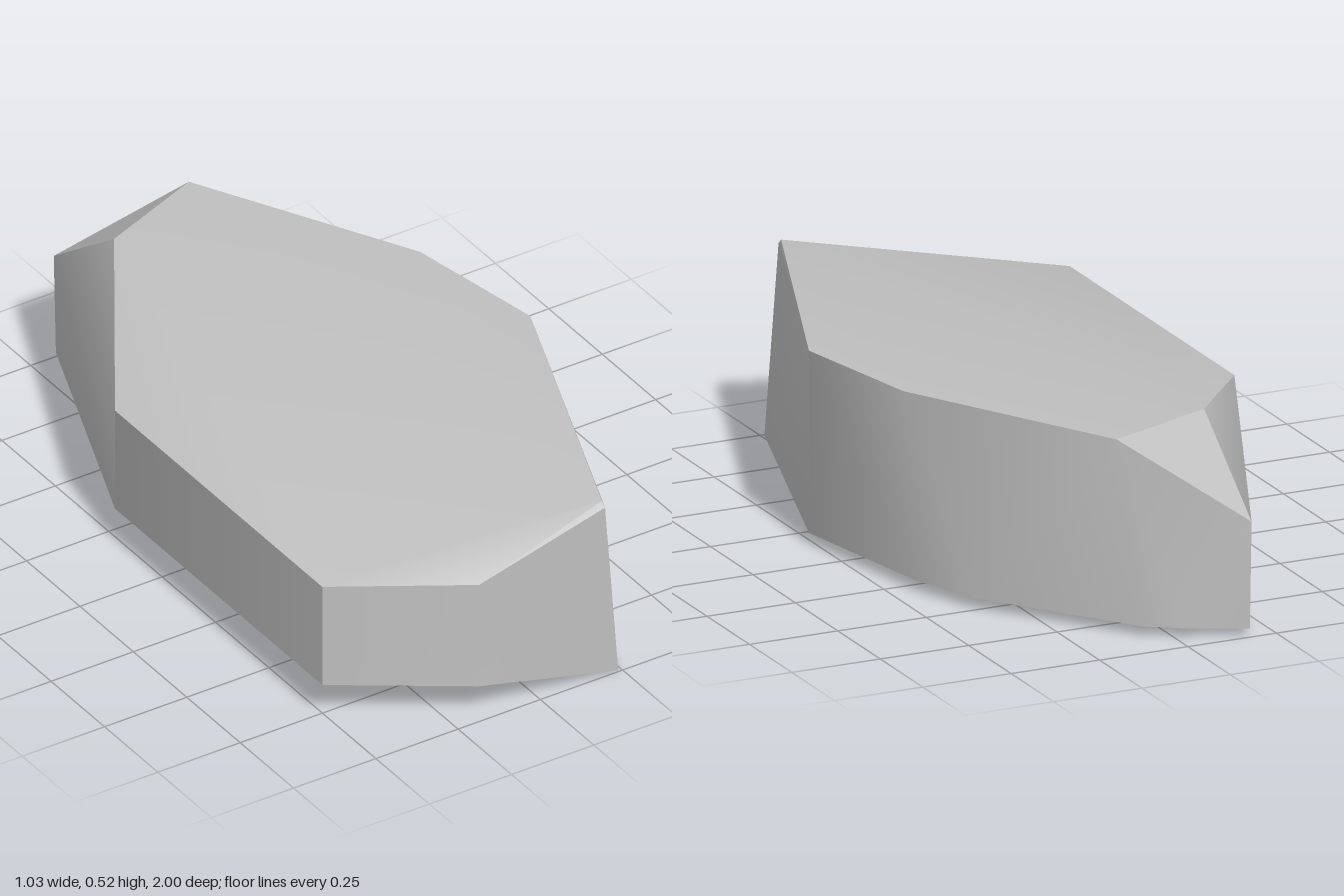
import * as THREE from 'three';
import { toCreasedNormals } from 'three/addons/utils/BufferGeometryUtils.js';
import { ConvexGeometry } from 'three/addons/geometries/ConvexGeometry.js';

export function createModel() {
  const group = new THREE.Group();
  group.name = 'rockSlab';
  const stone = new THREE.MeshStandardMaterial({ color: 0xbfbfbf });
  stone.name = 'stoneGrey';

  // Upper rim, with the lowered tip at the back
  const upper = [
    [-0.52, 0.41, -0.19], [-0.52, 0.41, 0.78], [-0.18, 0.41, 0.99],
    [0.2, 0.512, 0.995], [0.2, 0.525, 0.98], [0.515, 0.52, 0.16],
    [0.44, 0.521, -0.24], [0.12, 0.523, -0.83], [-0.185, 0.525, -0.71],
    [-0.18, 0.31, -1],
  ];
  // Lower rim, with extra corners rounding the back
  const lower = [
    [-0.52, 0.11, -0.19], [-0.52, 0.11, 0.78], [-0.18, 0.1, 0.99],
    [0.24, 0, 0.995], [0.515, 0.03, 0.16], [0.435, 0.03, -0.3],
    [0.365, 0.03, -0.49], [0.07, 0.027, -0.875], [-0.02, 0.025, -0.93],
    [-0.18, 0.02, -0.99],
  ];

  // Faceted body: shallow bends blend, strong ones stay sharp
  const points = [...upper, ...lower].map((p) => new THREE.Vector3(...p));
  const body = new THREE.Mesh(toCreasedNormals(new ConvexGeometry(points), 0.6), stone);
  body.name = 'rockBody';
  group.add(body);
  return group;
}
